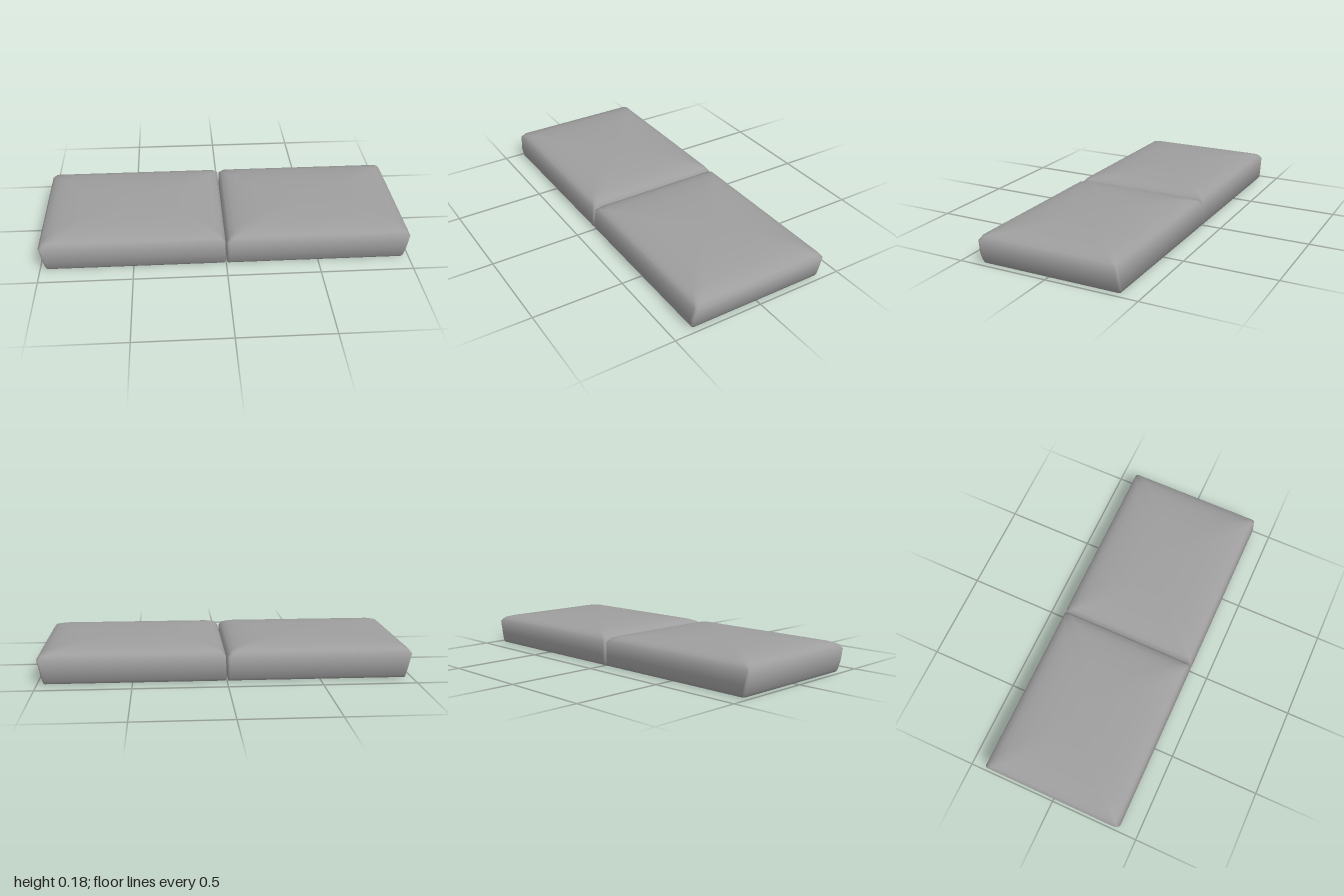
import * as THREE from 'three';

// Cushion cross-sections, bottom to top:
// [y, outer x, inner x, front z, back z, corner radius, upward tilt of the surface in degrees]
const RINGS = [
  [0, 0.49, 0.49, 0, 0, 0, -90],
  [0, 0.94, 0.03, 0.36, -0.365, 0.005, -84],
  [0, 0.965, 0.006, 0.381, -0.389, 0.008, -60],
  [0.015, 0.971, 0.003, 0.392, -0.395, 0.012, -26],
  [0.06, 0.983, 0.003, 0.397, -0.395, 0.014, -10],
  [0.13, 0.999, 0.004, 0.388, -0.394, 0.014, 22],
  [0.152, 0.983, 0.02, 0.375, -0.379, 0.024, 52],
  [0.163, 0.95, 0.05, 0.352, -0.352, 0.035, 70],
  [0.171, 0.905, 0.095, 0.305, -0.315, 0.05, 80],
  [0.178, 0.82, 0.18, 0.24, -0.24, 0.07, 85],
  [0.182, 0.68, 0.32, 0.13, -0.15, 0.07, 88],
  [0.183, 0.5, 0.5, -0.04, -0.04, 0, 90],
];
const CORNER_STEPS = 5;

// Loft rounded rectangles into one closed, smooth cushion; side is +1 (left) or -1 (right)
function cushion(side, name, material) {
  const position = [], normal = [], index = [];
  const n = 4 * (CORNER_STEPS + 1);
  RINGS.forEach(([y, outer, inner, front, back, r, tilt], j) => {
    const x0 = Math.min(side * outer, side * inner);
    const x1 = Math.max(side * outer, side * inner);
    const t = THREE.MathUtils.degToRad(tilt);
    // Four rounded corners, in order of increasing angle
    for (let q = 0; q < 4; q++) {
      const cx = q === 0 || q === 3 ? x1 - r : x0 + r;
      const cz = q < 2 ? front - r : back + r;
      for (let k = 0; k <= CORNER_STEPS; k++) {
        const a = (q + k / CORNER_STEPS) * Math.PI / 2;
        position.push(cx + r * Math.cos(a), y, cz + r * Math.sin(a));
        normal.push(Math.cos(a) * Math.cos(t), Math.sin(t), Math.sin(a) * Math.cos(t));
      }
    }
    // Join to the ring below
    for (let i = 0; j > 0 && i < n; i++) {
      const a = (j - 1) * n + i, b = (j - 1) * n + (i + 1) % n;
      index.push(a, a + n, b, b, a + n, b + n);
    }
  });
  const geometry = new THREE.BufferGeometry();
  geometry.setAttribute('position', new THREE.Float32BufferAttribute(position, 3));
  geometry.setAttribute('normal', new THREE.Float32BufferAttribute(normal, 3));
  geometry.setIndex(index);
  const mesh = new THREE.Mesh(geometry, material);
  mesh.name = name;
  return mesh;
}

export function createModel() {
  const fabric = new THREE.MeshStandardMaterial({ color: 0x9e9e9e });
  const group = new THREE.Group();
  group.name = 'seatCushions';
  group.add(cushion(1, 'leftCushion', fabric), cushion(-1, 'rightCushion', fabric));
  return group;
}
